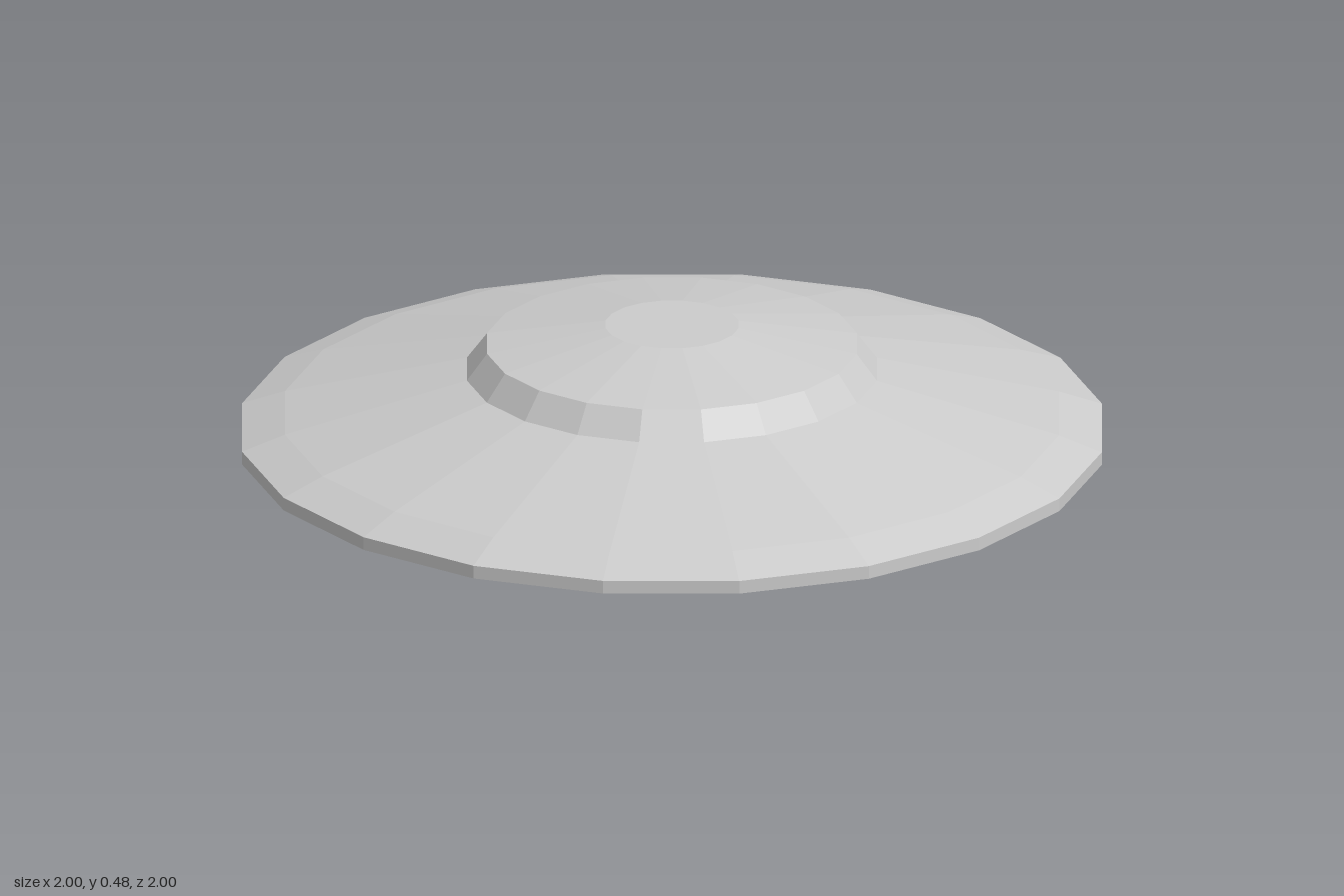
import * as THREE from 'three';

const SIDES = 20;

// Faceted ring of revolution; profile points [radius, height] run from the underside up.
function turned(name, profile, material) {
  const points = profile.map(([r, y]) => new THREE.Vector2(r, y));
  const mesh = new THREE.Mesh(new THREE.LatheGeometry(points, SIDES), material);
  mesh.name = name;
  return mesh;
}

export function createModel() {
  const group = new THREE.Group();
  group.name = 'saucer';
  const material = new THREE.MeshStandardMaterial({
    color: 0xcccccc, flatShading: true, side: THREE.DoubleSide,
  });

  // Recessed port in the middle of the underside
  group.add(turned('bottomPort', [[0, 0.055], [0.125, 0.055], [0.125, 0]], material));
  // Shallow belly plate with a short step up to the hull
  group.add(turned('bellyPlate', [[0.125, 0], [0.165, 0], [0.477, 0.05], [0.477, 0.065]], material));
  // Lower hull, bending up more steeply near the edge
  group.add(turned('lowerHull', [[0.477, 0.065], [0.91, 0.165], [1, 0.195]], material));
  // Thin upright edge band
  group.add(turned('rim', [[1, 0.195], [1, 0.226]], material));
  // Upper hull
  group.add(turned('upperHull', [[1, 0.226], [0.9, 0.262], [0.477, 0.37]], material));
  // Cabin with sloped wall
  group.add(turned('cabinWall', [[0.477, 0.37], [0.43, 0.433]], material));
  // Low roof with flat cap
  group.add(turned('cabinRoof', [[0.43, 0.433], [0.155, 0.48], [0, 0.48]], material));

  return group;
}
